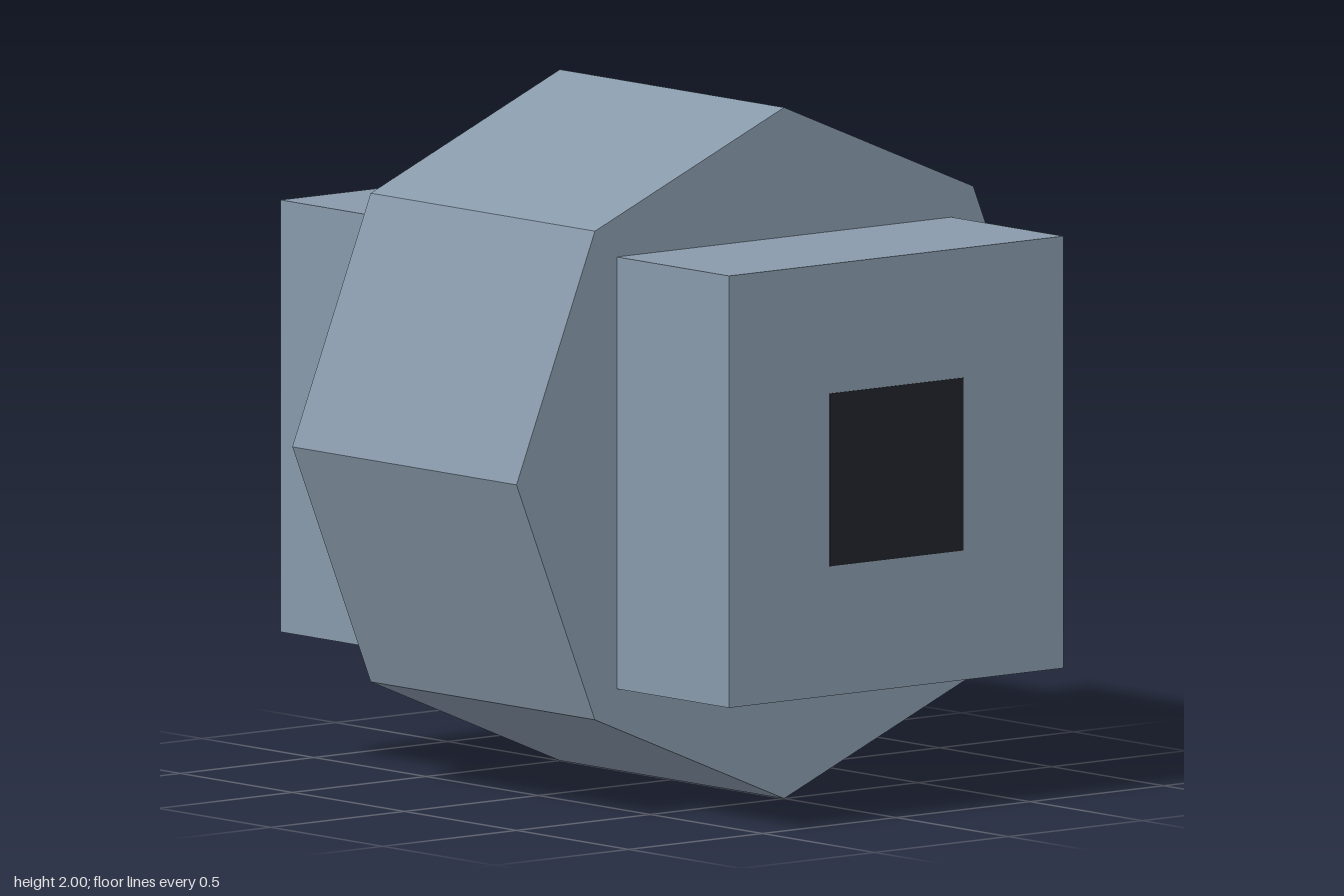
import * as THREE from 'three';

export function createModel() {
  const model = new THREE.Group();
  const steel = new THREE.MeshStandardMaterial({ color: 0x8899aa, flatShading: true });
  steel.name = 'blue grey steel';
  const dark = new THREE.MeshStandardMaterial({ color: 0x22222b, flatShading: true });
  dark.name = 'near black';

  const add = (name, geometry, material, z = 0) => {
    const mesh = new THREE.Mesh(geometry, material);
    mesh.name = name;
    mesh.position.set(0, 1, z);
    model.add(mesh);
  };

  // Octagonal drum lying along z, with a corner pointing up
  add('octagonalDrum', new THREE.CylinderGeometry(1, 1, 1, 8).rotateX(Math.PI / 2), steel);

  // Square blocks and dark square plates at both ends
  for (const [side, s] of [['front', 1], ['back', -1]]) {
    add(side + 'Block', new THREE.BoxGeometry(1.25, 1.25, 0.5), steel, s * 0.75);
    add(side + 'Port', new THREE.BoxGeometry(0.5, 0.5, 0.006), dark, s * 0.999);
  }
  return model;
}
